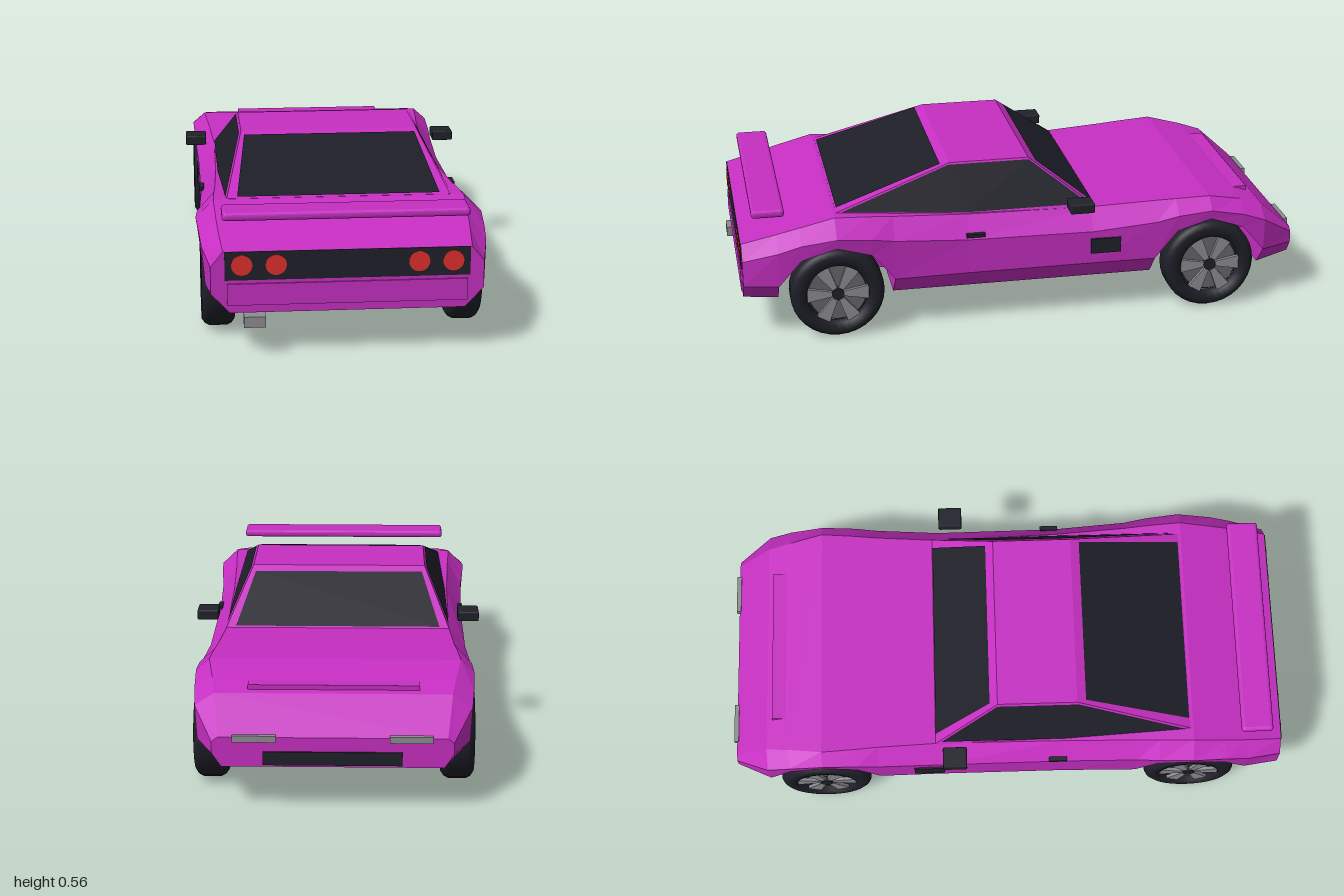
import * as THREE from 'three';
import { RoundedBoxGeometry } from 'three/addons/geometries/RoundedBoxGeometry.js';

const material = (name, color, extra = {}) =>
  Object.assign(new THREE.MeshStandardMaterial({ color, ...extra }), { name });

// Faceted hull: each station is [z, ...right-half points], mirrored into a closed ring
function loft(stations) {
  const rings = stations.map(([z, ...half]) => [
    ...half.map(([x, y]) => [x, y, z]),
    ...half.slice().reverse().map(([x, y]) => [-x, y, z]),
  ]);
  const pos = [];
  const tri = (...pts) => pts.forEach((p) => pos.push(...p));
  const n = rings[0].length;
  for (let i = 0; i < rings.length - 1; i++) {
    for (let j = 0; j < n; j++) {
      const k = (j + 1) % n;
      const a = rings[i][j], b = rings[i][k], c = rings[i + 1][k], d = rings[i + 1][j];
      tri(a, d, c);
      tri(a, c, b);
    }
  }
  const first = rings[0], last = rings[rings.length - 1];
  for (let j = 1; j < n - 1; j++) {
    tri(first[0], first[j], first[j + 1]);
    tri(last[0], last[j + 1], last[j]);
  }
  const g = new THREE.BufferGeometry();
  g.setAttribute('position', new THREE.Float32BufferAttribute(pos, 3));
  g.computeVertexNormals();
  return g;
}

// Flat convex pane, lifted slightly away from the cabin and wound to face outward
function pane(points) {
  const p = points.map((q) => new THREE.Vector3(...q));
  const normal = p[1].clone().sub(p[0]).cross(p[2].clone().sub(p[0])).normalize();
  if (normal.dot(p[0].clone().sub(new THREE.Vector3(0, 0.3, 0.1))) < 0) {
    normal.negate();
    p.reverse();
  }
  p.forEach((v) => v.addScaledVector(normal, 0.004));
  const pos = [];
  for (let i = 1; i < p.length - 1; i++) {
    for (const v of [p[0], p[i], p[i + 1]]) pos.push(v.x, v.y, v.z);
  }
  const g = new THREE.BufferGeometry();
  g.setAttribute('position', new THREE.Float32BufferAttribute(pos, 3));
  g.computeVertexNormals();
  return g;
}

export function createModel() {
  const car = new THREE.Group();
  car.name = 'sportsCar';
  const paint = material('magenta paint', 0xc62fc2, { flatShading: true });
  const glass = material('dark glass', 0x1e1e28, { side: THREE.DoubleSide });
  const trim = material('black trim', 0x20212a);
  const rubber = material('tyre rubber', 0x1e1f28);
  const metal = material('grey metal', 0x8e8e93);
  const rimGrey = material('rim grey', 0x66666b);
  const red = material('red lamp', 0xe03030);

  const add = (name, geometry, mat, x = 0, y = 0, z = 0, parent = car) => {
    const m = new THREE.Mesh(geometry, mat);
    m.name = name;
    m.position.set(x, y, z);
    parent.add(m);
    return m;
  };
  const box = (name, mat, w, h, d, x, y, z) =>
    add(name, new THREE.BoxGeometry(w, h, d), mat, x, y, z);

  // Body stations: inner floor, floor edge, sill, crease, top edge
  const solid = (z, floor, sill, crease, top) => [z, [0.18, floor[1]], floor, sill, crease, top];
  // Inside a wheel well the floor edge becomes the inner end of the arch ceiling
  const well = (z, sill, crease, top) => [z, [0.18, 0.125], [0.18, sill[1]], sill, crease, top];
  add('body', loft([
    solid(0.98, [0.38, 0.145], [0.44, 0.21], [0.44, 0.3], [0.4, 0.35]),
    solid(0.86, [0.385, 0.135], [0.455, 0.205], [0.465, 0.33], [0.41, 0.38]),
    well(0.86, [0.455, 0.205], [0.465, 0.33], [0.41, 0.38]),
    well(0.78, [0.467, 0.3], [0.472, 0.355], [0.415, 0.4]),
    well(0.66, [0.475, 0.338], [0.48, 0.372], [0.42, 0.43]),
    well(0.54, [0.465, 0.3], [0.472, 0.36], [0.415, 0.423]),
    well(0.46, [0.455, 0.2], [0.463, 0.345], [0.41, 0.416]),
    solid(0.46, [0.385, 0.125], [0.455, 0.2], [0.463, 0.345], [0.41, 0.416]),
    solid(0.2, [0.385, 0.125], [0.45, 0.2], [0.453, 0.325], [0.4, 0.4]),
    solid(-0.24, [0.385, 0.125], [0.45, 0.2], [0.453, 0.32], [0.393, 0.39]),
    solid(-0.465, [0.385, 0.125], [0.452, 0.2], [0.46, 0.34], [0.405, 0.401]),
    well(-0.465, [0.452, 0.2], [0.46, 0.34], [0.405, 0.401]),
    well(-0.545, [0.457, 0.3], [0.463, 0.358], [0.412, 0.405]),
    well(-0.665, [0.46, 0.338], [0.465, 0.37], [0.42, 0.41]),
    well(-0.785, [0.455, 0.295], [0.46, 0.345], [0.4, 0.383]),
    well(-0.865, [0.447, 0.2], [0.453, 0.315], [0.388, 0.358]),
    solid(-0.865, [0.38, 0.125], [0.447, 0.2], [0.453, 0.315], [0.388, 0.358]),
    solid(-0.985, [0.36, 0.15], [0.39, 0.195], [0.39, 0.235], [0.37, 0.25]),
  ]), paint);

  // Cabin with flat leaning sides
  const sideX = (y) => 0.31 + (0.56 - y) * 0.5;
  add('cabin', loft([
    [0.65, [sideX(0.4), 0.4], [sideX(0.43), 0.43]],
    [0.245, [sideX(0.385), 0.385], [0.31, 0.56]],
    [-0.035, [sideX(0.385), 0.385], [0.31, 0.56]],
    [-0.26, [sideX(0.38), 0.38], [sideX(0.39), 0.39]],
  ]), paint);

  // Windows
  add('windshield', pane([[0.36, 0.394, -0.255], [0.3, 0.541, -0.06],
    [-0.3, 0.541, -0.06], [-0.36, 0.394, -0.255]]), glass);
  add('rearWindow', pane([[0.34, 0.4316, 0.645], [0.3, 0.5504, 0.275],
    [-0.3, 0.5504, 0.275], [-0.34, 0.4316, 0.645]]), glass);
  for (const s of [1, -1]) {
    const outline = [[0.63, 0.43], [0.25, 0.553], [-0.035, 0.553], [-0.235, 0.402], [0.2, 0.402]];
    add('sideWindow', pane(outline.map(([z, y]) => [s * sideX(y), y, z])), glass);
  }

  // Tail: lamp panel, lamps, lower panel, spoiler and exhaust
  box('tailPanel', trim, 0.79, 0.095, 0.009, 0, 0.3025, 0.979);
  box('lowerTailPanel', paint, 0.775, 0.072, 0.009, 0, 0.207, 0.981);
  for (const x of [-0.34, -0.23, 0.23, 0.34]) {
    add('tailLamp', new THREE.CylinderGeometry(0.034, 0.034, 0.004, 24), red, x, 0.305, 0.984)
      .rotation.x = Math.PI / 2;
  }
  add('spoiler', new RoundedBoxGeometry(0.8, 0.028, 0.112, 2, 0.011), paint, 0, 0.451, 0.884);
  box('exhaust', metal, 0.07, 0.036, 0.06, -0.3, 0.118, 0.97);

  // Nose: grille, headlights and hood vent
  box('grille', trim, 0.45, 0.045, 0.009, 0, 0.18, -0.987);
  for (const s of [1, -1]) box('headlight', metal, 0.14, 0.022, 0.016, s * 0.253, 0.247, -0.987);
  box('hoodVent', paint, 0.56, 0.024, 0.06, 0, 0.368, -0.815);

  // Mirrors, side vents and door handles
  for (const s of [1, -1]) {
    add('mirror', new RoundedBoxGeometry(0.075, 0.035, 0.085, 1, 0.005), trim, s * 0.4625, 0.427, -0.19);
    box('sideVent', trim, 0.012, 0.055, 0.107, s * 0.453, 0.267, -0.285);
    box('doorHandle', trim, 0.016, 0.012, 0.065, s * 0.45, 0.34, 0.177);
  }

  // Wheels: the lathe axis is turned so that +y points outward
  const tyre = new THREE.LatheGeometry([[0.108, -0.053], [0.14, -0.055], [0.155, -0.045],
    [0.163, -0.03], [0.163, 0.03], [0.155, 0.045], [0.14, 0.055], [0.108, 0.053],
    [0.108, 0.02]].map(([x, y]) => new THREE.Vector2(x, y)), 32);
  const blade = new THREE.Shape();
  blade.moveTo(0.02, -0.009);
  blade.lineTo(0.106, -0.025);
  blade.lineTo(0.106, 0.025);
  blade.lineTo(0.02, 0.009);
  blade.closePath();
  const spoke = new THREE.ExtrudeGeometry(blade, { depth: 0.012, bevelEnabled: false });
  spoke.rotateX(-Math.PI / 2);
  for (const s of [1, -1]) {
    for (const z of [0.66, -0.665]) {
      const wheel = new THREE.Group();
      wheel.name = z > 0 ? 'rearWheel' : 'frontWheel';
      wheel.position.set(s * 0.411, 0.163, z);
      wheel.rotation.z = -s * Math.PI / 2;
      car.add(wheel);
      add('tyre', tyre, rubber, 0, 0, 0, wheel);
      add('innerCover', new THREE.CylinderGeometry(0.11, 0.11, 0.06, 32), trim, 0, -0.015, 0, wheel);
      add('rimDisc', new THREE.CylinderGeometry(0.1, 0.1, 0.014, 32), rimGrey, 0, 0.025, 0, wheel);
      for (let i = 0; i < 6; i++) {
        add('spoke', spoke, metal, 0, 0.036, 0, wheel).rotation.y = (i + 0.5) * Math.PI / 3;
      }
      add('hub', new THREE.CylinderGeometry(0.022, 0.022, 0.02, 16), trim, 0, 0.042, 0, wheel);
    }
  }
  return car;
}
